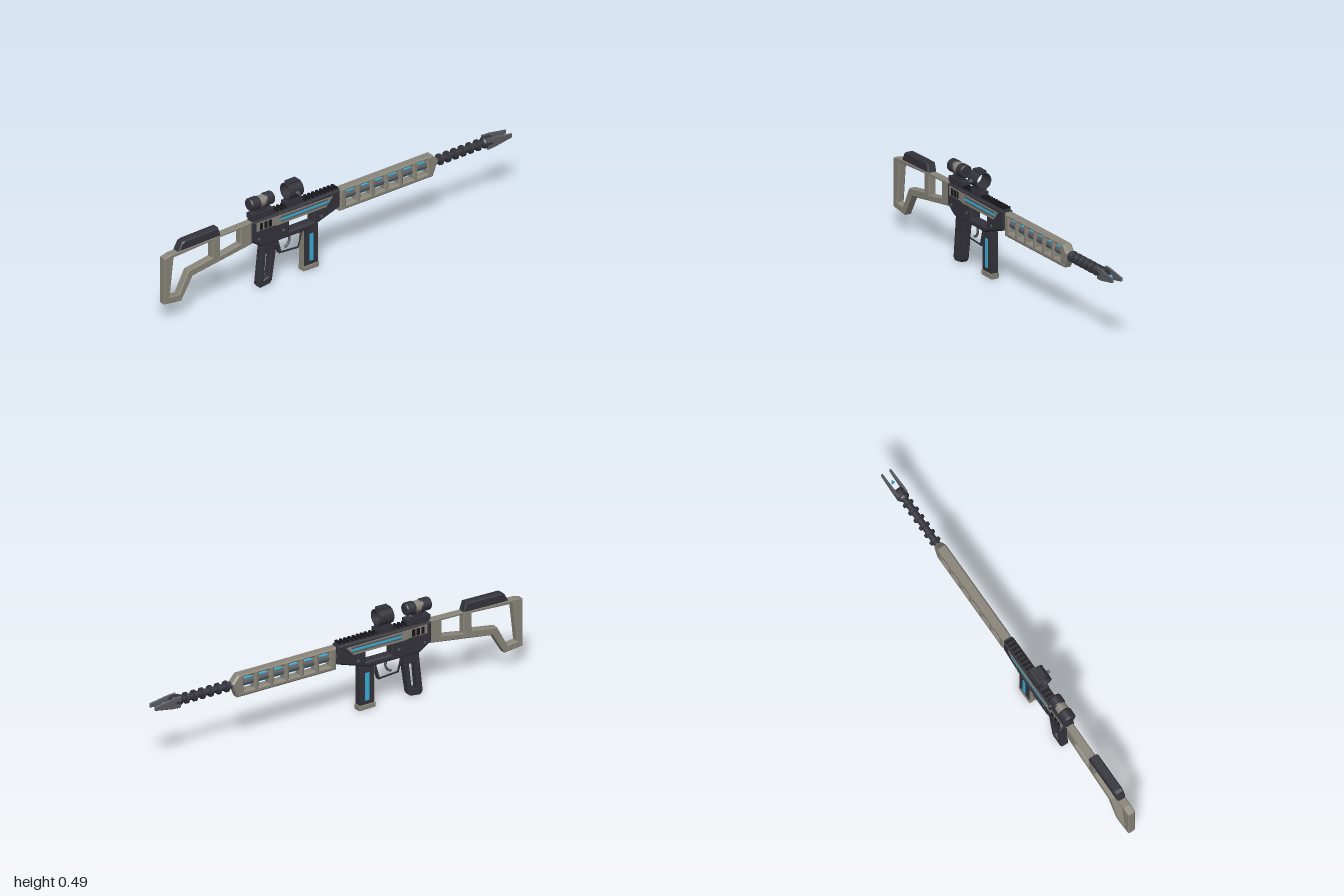
import * as THREE from 'three';

const mat = (name, color) => Object.assign(new THREE.MeshStandardMaterial({ color }), { name });

export function createModel() {
  const dark = mat('charcoal', 0x33333b);
  const black = mat('black', 0x17171b);
  const tan = mat('stone', 0x89857a);
  const steel = mat('steel', 0x5c5d61);
  const blue = mat('blue', 0x38b2dc);

  const root = new THREE.Group();
  root.name = 'rifle';
  root.position.x = -0.007;

  const add = (name, geo, material, x = 0, y = 0, z = 0, parent = root) => {
    const m = new THREE.Mesh(geo, material);
    m.name = name;
    m.position.set(x, y, z);
    parent.add(m);
    return m;
  };
  const box = (name, w, h, d, material, x, y, z) =>
    add(name, new THREE.BoxGeometry(w, h, d), material, x, y, z);
  const vecs = pts => pts.map(([a, b]) => new THREE.Vector2(a, b));

  // side profile of (z, y) points, extruded across x and centred
  const slab = (name, pts, width, material, holes = [], bevel = 0.004, x = 0) => {
    const shape = new THREE.Shape(vecs(pts));
    holes.forEach(h => shape.holes.push(new THREE.Path(vecs(h))));
    const depth = width - 2 * bevel;
    const geo = new THREE.ExtrudeGeometry(shape, {
      depth, bevelEnabled: bevel > 0, bevelSize: bevel, bevelThickness: bevel,
      bevelOffset: -bevel, bevelSegments: 1,
    });
    geo.translate(0, 0, -depth / 2).rotateY(-Math.PI / 2);
    return add(name, geo, material, x);
  };
  // turned part along z from (radius, z) points, running toward -z
  const turned = (name, pts, material, y, sides = 20) => {
    const geo = new THREE.LatheGeometry(vecs(pts.map(([r, z]) => [r, -z])), sides).rotateX(-Math.PI / 2).toNonIndexed();
    geo.computeVertexNormals();
    return add(name, geo, material, 0, y, 0);
  };

  // Skeleton stock and cheek pad
  slab('stock',
    [[1, 0.335], [1, 0.1], [0.9, 0.088], [0.835, 0.195], [0.49, 0.245], [0.49, 0.358], [0.96, 0.345]],
    0.038, tan, [
      [[0.945, 0.325], [0.722, 0.337], [0.722, 0.25], [0.86, 0.228], [0.915, 0.124], [0.967, 0.13]],
      [[0.677, 0.34], [0.56, 0.342], [0.56, 0.266], [0.677, 0.246]],
    ]);
  slab('cheekPad', [[0.92, 0.346], [0.9, 0.385], [0.885, 0.393], [0.69, 0.396], [0.675, 0.35]], 0.044, dark, [], 0.006);

  // Receiver with the open ejection window
  slab('receiver',
    [[0.5, 0.355], [0.5, 0.255], [0.44, 0.215], [0.17, 0.212], [-0.01, 0.27], [-0.01, 0.362]],
    0.052, dark, [[[0.282, 0.295], [0.146, 0.295], [0.146, 0.245], [0.282, 0.245]]], 0.008);

  for (const s of [-1, 1]) {
    slab('sidePanel', [[0.475, 0.348], [0.475, 0.305], [0.38, 0.305], [0.355, 0.3], [0.075, 0.3], [0.035, 0.343]],
      0.004, tan, [], 0, s * 0.027);
    box('panelInset', 0.003, 0.028, 0.27, steel, s * 0.0285, 0.325, 0.2);
    box('glowStripe', 0.004, 0.011, 0.275, blue, s * 0.0295, 0.325, 0.198);
    for (let i = 0; i < 3; i++) box('ventSlot', 0.004, 0.034, 0.017, black, s * 0.029, 0.326, 0.449 - i * 0.025);
    for (const z of [0.46, 0.32, 0.1]) {
      const pin = add('pin', new THREE.CylinderGeometry(0.007, 0.007, 0.004, 10), steel, s * 0.027, 0.262, z);
      pin.rotation.z = Math.PI / 2;
    }
  }

  // Toothed top rail
  box('railBase', 0.03, 0.014, 0.5, dark, 0, 0.361, 0.245);
  for (let i = 0; i < 22; i++) box('railTooth', 0.036, 0.01, 0.012, black, 0, 0.371, 0.48 - i * 0.0225);

  // Handguard with six windows
  const windows = Array.from({ length: 6 }, (_, i) => {
    const z = -0.05 - i * 0.082;
    return [[z, 0.34], [z - 0.054, 0.34], [z - 0.054, 0.272], [z, 0.272]];
  });
  slab('handguard',
    [[-0.012, 0.357], [-0.545, 0.357], [-0.58, 0.318], [-0.55, 0.245], [-0.012, 0.245]],
    0.046, tan, windows, 0.008);

  // Barrel with glowing strips above and below
  turned('barrel', [[0, 0], [0.017, 0], [0.017, -0.58], [0, -0.58]], steel, 0.308);
  for (const s of [-1, 1]) box('barrelGlow', 0.012, 0.004, 0.53, blue, 0, 0.308 + s * 0.017, -0.29);

  // Ribbed front barrel
  turned('frontBarrel', [[0, -0.56], [0.016, -0.56], [0.016, -0.87], [0, -0.87]], dark, 0.308);
  for (let i = 0; i < 6; i++) {
    const z = -0.59 - i * 0.0435;
    turned('coolingRing', [[0.014, z], [0.027, z - 0.005], [0.027, z - 0.016], [0.014, z - 0.021]], dark, 0.308);
  }
  turned('muzzleCollar',
    [[0, -0.845], [0.022, -0.845], [0.028, -0.855], [0.028, -0.885], [0.022, -0.9], [0, -0.9]], dark, 0.308);

  // Forked muzzle and glowing emitter
  for (const s of [-1, 1]) {
    slab('muzzleProng', [[-0.86, 0.336], [-0.9, 0.334], [-1, 0.318], [-1, 0.299], [-0.9, 0.282], [-0.86, 0.28]],
      0.009, steel, [], 0.002, s * 0.0225);
  }
  const emitter = add('emitter', new THREE.ConeGeometry(0.01, 0.018, 12), blue, 0, 0.308, -0.947);
  emitter.rotation.x = -Math.PI / 2;

  // Slotted pistol grip
  slab('grip',
    [[0.435, 0.225], [0.44, 0.17], [0.457, 0.015], [0.445, 0], [0.39, 0.006], [0.378, 0.02], [0.35, 0.2], [0.35, 0.225]],
    0.038, dark, [[[0.413, 0.165], [0.382, 0.17], [0.397, 0.045], [0.425, 0.035]]], 0.004);

  // Trigger guard and trigger
  slab('triggerGuard', [[0.352, 0.215], [0.33, 0.138], [0.22, 0.13], [0.195, 0.215]], 0.022, dark,
    [[[0.338, 0.21], [0.321, 0.147], [0.226, 0.14], [0.206, 0.21]]], 0.001);
  const curve = new THREE.CatmullRomCurve3([[0.27, 0.215], [0.265, 0.185], [0.278, 0.162], [0.295, 0.153]]
    .map(([z, y]) => new THREE.Vector3(0, y, z)));
  add('trigger', new THREE.TubeGeometry(curve, 12, 0.006, 8), steel);

  // Magazine with glowing side strips
  box('magazine', 0.036, 0.21, 0.078, dark, 0, 0.12, 0.153);
  box('magazineSpine', 0.03, 0.185, 0.008, tan, 0, 0.115, 0.193);
  slab('magazineBase', [[0.198, 0.028], [0.198, 0.004], [0.11, 0.002], [0.108, 0.028]], 0.042, tan, [], 0.003);
  for (const s of [-1, 1]) box('magazineGlow', 0.004, 0.138, 0.022, blue, s * 0.0185, 0.117, 0.153);

  // Ring sight
  turned('sightRing',
    [[0.034, 0.288], [0.04, 0.288], [0.04, 0.212], [0.034, 0.212], [0.034, 0.288]], dark, 0.44, 28);
  box('sightTop', 0.036, 0.009, 0.06, dark, 0, 0.482, 0.25);
  box('sightNeck', 0.034, 0.022, 0.07, dark, 0, 0.396, 0.25);
  box('sightBase', 0.044, 0.022, 0.09, dark, 0, 0.379, 0.25);
  const knob = add('sightKnob', new THREE.CylinderGeometry(0.008, 0.008, 0.018, 12), steel, 0.045, 0.438, 0.25);
  knob.rotation.z = Math.PI / 2;

  // Rear scope with stone waist
  turned('scopeRear', [[0, 0.5], [0.027, 0.5], [0.031, 0.494], [0.031, 0.455], [0.025, 0.445], [0, 0.445]], dark, 0.44, 28);
  turned('scopeFront', [[0, 0.42], [0.025, 0.42], [0.031, 0.41], [0.031, 0.374], [0.027, 0.368], [0, 0.368]], dark, 0.44, 28);
  turned('scopeWaist', [[0.02, 0.449], [0.027, 0.447], [0.027, 0.414], [0.02, 0.412]], tan, 0.44, 28);
  box('scopeNeck', 0.026, 0.028, 0.06, dark, 0, 0.402, 0.432);
  box('scopeBase', 0.044, 0.024, 0.125, dark, 0, 0.38, 0.432);

  // Scope locking lever
  const arm = add('leverArm', new THREE.CylinderGeometry(0.006, 0.006, 0.028, 10), steel, -0.023, 0.412, 0.385);
  arm.rotation.z = Math.PI / 2;
  add('lever', new THREE.CylinderGeometry(0.007, 0.007, 0.036, 10), dark, -0.033, 0.396, 0.385);

  return root;
}
